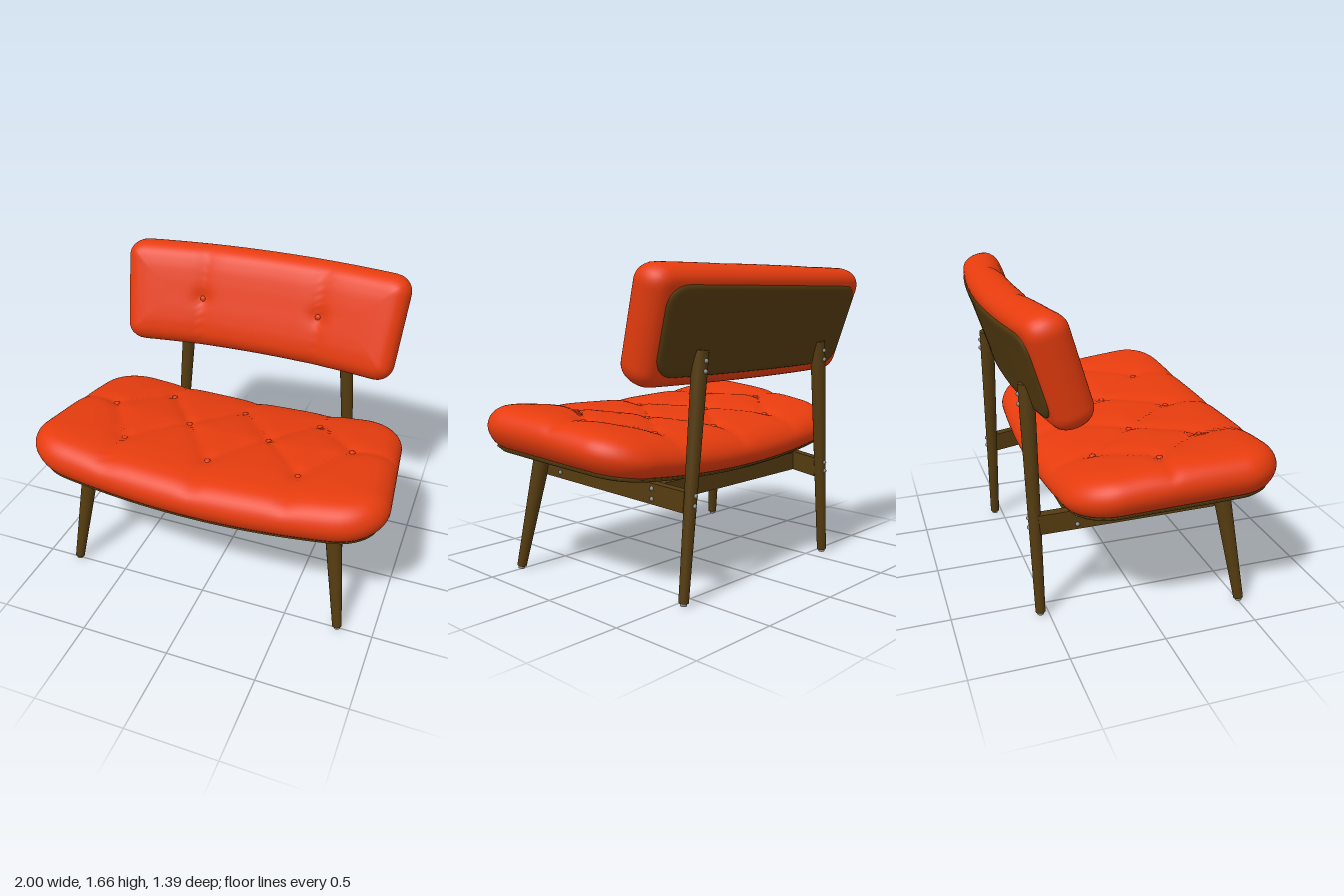
import * as THREE from 'three';

const mat = (name, color) => Object.assign(new THREE.MeshStandardMaterial({ color }), { name });
const V = (x, y, z) => new THREE.Vector3(x, y, z);

// Closed pad: rounded-rectangle rings, each inset and raised along a profile of [inset, height]
function padGeometry(hw, hh, radius, profile, place, rings, perSide = 48) {
  const curve = new THREE.CatmullRomCurve3(profile.map(([i, h]) => V(i, h, 0)), false, 'centripetal');
  const n = perSide * 4, pos = [], index = [];
  for (const { x: inset, y: h } of curve.getSpacedPoints(rings)) {
    const w = Math.max(hw - inset, 0), d = Math.max(hh - inset, 0);
    const r = Math.min(Math.max(radius - inset, 0.02), w, d);
    for (let k = 0; k < n; k++) {
      let p = 1, q = ((k % perSide) / perSide) * 2 - 1;
      for (let s = Math.floor(k / perSide); s > 0; s--) [p, q] = [-q, p];
      const cx = THREE.MathUtils.clamp(p * w, r - w, w - r);
      const cz = THREE.MathUtils.clamp(q * d, r - d, d - r);
      const dx = p * w - cx, dz = q * d - cz, l = Math.hypot(dx, dz) || 1;
      pos.push(...place(cx + (dx / l) * r, cz + (dz / l) * r, h).toArray());
    }
  }
  for (let j = 0; j < rings; j++) {
    for (let k = 0; k < n; k++) {
      const a = j * n + k, b = j * n + ((k + 1) % n);
      index.push(a, a + n, b, b, a + n, b + n);
    }
  }
  const g = new THREE.BufferGeometry();
  g.setAttribute('position', new THREE.Float32BufferAttribute(pos, 3));
  g.setIndex(index);
  g.computeVertexNormals();
  return g;
}

// Tufting: button positions and the seams between them
const backRow = [[-0.46, -0.21], [0, -0.21], [0.46, -0.21]];
const midRow = [[-0.71, 0.06], [-0.24, 0.07], [0.24, 0.07], [0.71, 0.06]];
const frontRow = [[-0.5, 0.37], [0, 0.385], [0.5, 0.37]];
const seatButtons = [...backRow, ...midRow, ...frontRow];
const seams = [[midRow[0], [-1, 0.04]], [midRow[3], [1, 0.04]]];
for (let i = 0; i < 3; i++) {
  for (const b of [backRow[i], frontRow[i]]) seams.push([b, midRow[i]], [b, midRow[i + 1]]);
  seams.push([backRow[i], [backRow[i][0], -0.5]], [frontRow[i], [frontRow[i][0], 0.7]]);
}
function segmentDistance(x, z, [[ax, az], [bx, bz]]) {
  const dx = bx - ax, dz = bz - az;
  const t = THREE.MathUtils.clamp(((x - ax) * dx + (z - az) * dz) / (dx * dx + dz * dz), 0, 1);
  return Math.hypot(x - ax - t * dx, z - az - t * dz);
}
const dimple = (x, z, buttons) =>
  buttons.reduce((m, [bx, bz]) => Math.max(m, Math.exp(-(((x - bx) ** 2 + (z - bz) ** 2) / 0.0025))), 0);

// Dished seat surface, tilted back, at height h above its underside
function seatSurface(x, z, h) {
  const thin = 1 - Math.max(0, 0.1 - z) / 3;
  const top = THREE.MathUtils.smoothstep(h, 0.12, 0.23);
  const d = Math.min(...seams.map((s) => segmentDistance(x, z, s)));
  const sink = top * (0.018 * Math.exp(-d / 0.05) + 0.014 * dimple(x, z, seatButtons));
  return V(x, 0.61 + 0.06 * z + 0.078 * x * x + h * thin - sink, z);
}
function placeSeat(px, pz, h) {
  const q = pz / 0.58, x = px * (1 + 0.055 * q);
  return seatSurface(x, 0.11 + pz - 0.05 * x * x * q, h);
}

// Leaning, curved backrest surface, h forward of the board
const backButtons = [[-0.35, -0.014], [0.35, -0.014]];
function backSurface(x, v, h) {
  const front = THREE.MathUtils.smoothstep(h, 0.06, 0.2);
  const w = h - front * (0.02 * Math.exp(-Math.abs(Math.abs(x) - 0.35) / 0.06) + 0.015 * dimple(x, v, backButtons));
  return V(x, 1.34 + 0.95 * v + 0.31 * w, -0.62 - 0.31 * v + 0.95 * w + 0.12 * x * x);
}
const placeBack = (px, pz, h) => backSurface(px * (1 - (0.025 * pz) / 0.3), -pz, h);

export function createModel() {
  const model = new THREE.Group();
  const fabric = mat('orangeFabric', 0xe63c0e);
  const wood = mat('darkWood', 0x543b10);
  const metal = mat('greyMetal', 0x8a8a8e);

  const add = (name, geometry, material, position) => {
    const m = new THREE.Mesh(geometry, material);
    m.name = name;
    if (position) m.position.copy(position);
    model.add(m);
    return m;
  };
  // Tapered round bar from a to b
  const rod = (name, a, b, ra, rb, material) => {
    const dir = b.clone().sub(a);
    const m = add(name, new THREE.CylinderGeometry(rb, ra, dir.length(), 24), material, a.clone().lerp(b, 0.5));
    m.quaternion.setFromUnitVectors(V(0, 1, 0), dir.normalize());
  };
  // Rectangular bar from a to b
  const beam = (name, a, b, height, thick) => {
    const m = add(name, new THREE.BoxGeometry(thick, height, a.distanceTo(b)), wood, a.clone().lerp(b, 0.5));
    m.lookAt(b);
  };

  // Seat
  add('seatCushion', padGeometry(0.97, 0.58, 0.25, [[0.58, 0], [0.25, 0], [0.07, 0], [0.025, 0.035], [0, 0.1],
    [0.02, 0.165], [0.07, 0.21], [0.14, 0.232], [0.25, 0.242], [0.4, 0.244], [0.58, 0.244]], placeSeat, 60), fabric);
  add('seatBoard', padGeometry(0.97, 0.58, 0.25, [[0.58, -0.03], [0.3, -0.03], [0.13, -0.03], [0.07, -0.018],
    [0.045, 0.006], [0.3, 0.006], [0.58, 0.006]], placeSeat, 30), wood);
  const panel = add('undersidePanel', new THREE.BoxGeometry(0.76, 0.008, 0.34), metal, V(0, 0.579, 0));
  panel.rotation.x = -0.06;

  // Backrest
  add('backCushion', padGeometry(0.825, 0.3, 0.1, [[0.3, 0], [0.15, 0], [0.05, 0], [0.015, 0.03], [0, 0.09],
    [0.015, 0.16], [0.055, 0.2], [0.12, 0.217], [0.2, 0.222], [0.3, 0.222]], placeBack, 50), fabric);
  add('backBoard', padGeometry(0.825, 0.3, 0.18, [[0.3, -0.012], [0.18, -0.012], [0.08, -0.012], [0.07, -0.005],
    [0.07, 0.01], [0.3, 0.01]], placeBack, 30), wood);

  // Buttons
  const button = new THREE.SphereGeometry(0.018, 16, 10);
  for (const [x, z] of seatButtons) add('seatButton', button, fabric, seatSurface(x, z, 0.244)).scale.y = 0.7;
  for (const [x, v] of backButtons) add('backButton', button, fabric, backSurface(x, v, 0.222)).scale.z = 0.7;

  // Legs, side rails and screws, mirrored
  const screw = new THREE.SphereGeometry(0.012, 12, 8);
  for (const s of [1, -1]) {
    rod('frontLeg', V(s * 0.803, 0.015, 0.502), V(s * 0.71, 0.665, 0.402), 0.026, 0.048, wood);
    rod('frontFoot', V(s * 0.805, 0, 0.504), V(s * 0.803, 0.016, 0.502), 0.017, 0.017, metal);
    rod('backLeg', V(s * 0.597, 0.015, -0.545), V(s * 0.49, 1.25, -0.557), 0.026, 0.042, wood);
    rod('backFoot', V(s * 0.598, 0, -0.545), V(s * 0.597, 0.016, -0.545), 0.017, 0.017, metal);
    beam('sideRail', V(s * 0.68, 0.59, 0.38), V(s * 0.56, 0.515, -0.53), 0.108, 0.05);
    const railX = (z) => 0.585 + (0.12 * (z + 0.53)) / 0.91;
    const spots = [
      [0.727, 0.58, 0.457], [0.722, 0.63, 0.452],
      [railX(0.28), 0.56, 0.28], [railX(0.28), 0.612, 0.28],
      [railX(-0.34), 0.505, -0.34], [railX(-0.34), 0.558, -0.34],
      [0.555, 0.5, -0.58], [0.55, 0.55, -0.581],
      [0.499, 1.15, -0.597], [0.495, 1.2, -0.597],
    ];
    for (const [x, y, z] of spots) add('screw', screw, metal, V(s * x, y, z));
  }

  // Cross rails
  beam('frontRail', V(-0.67, 0.583, 0.34), V(0.67, 0.583, 0.34), 0.095, 0.05);
  beam('rearRail', V(-0.58, 0.525, -0.33), V(0.58, 0.525, -0.33), 0.1, 0.05);
  return model;
}
